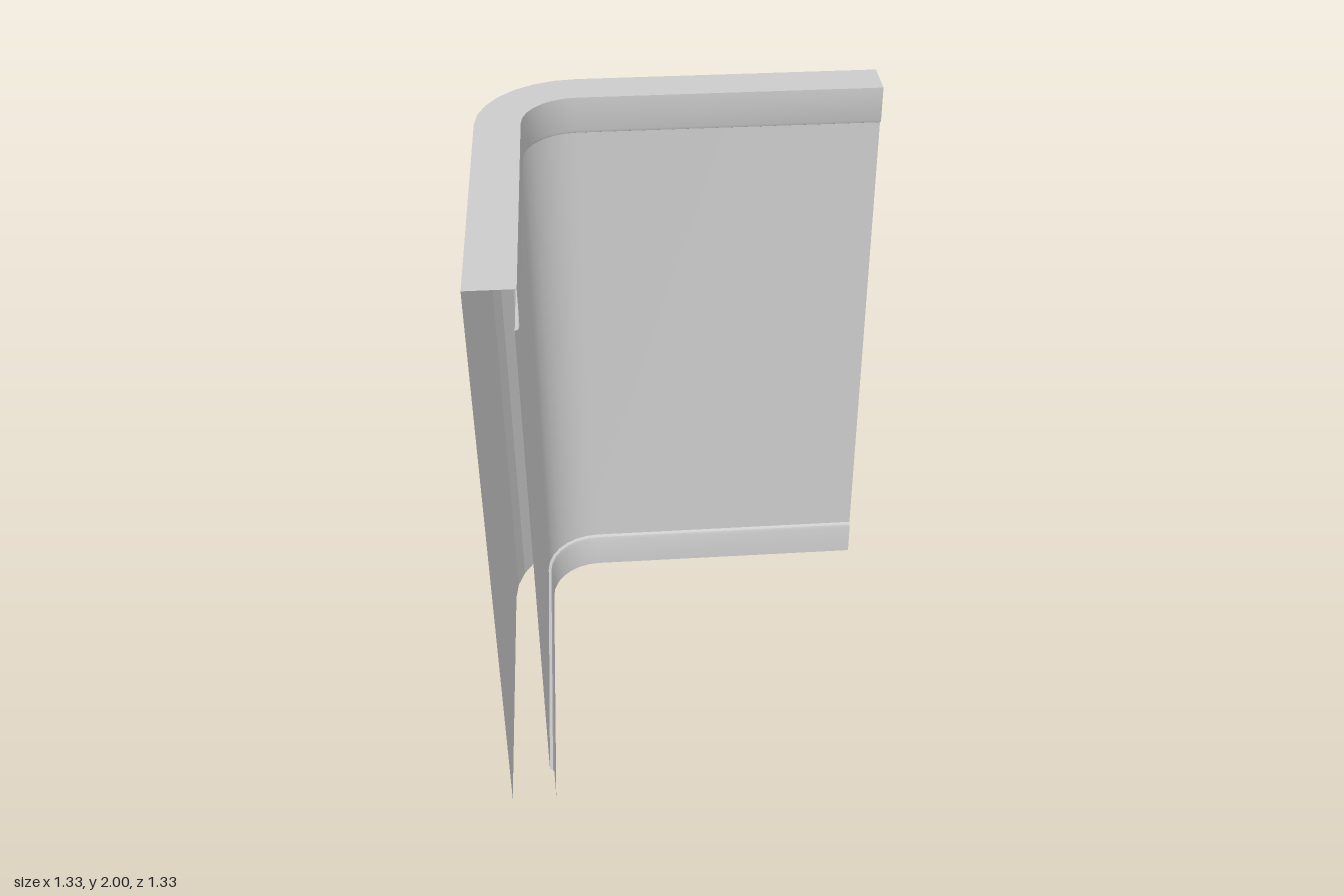
import * as THREE from 'three';
import { toCreasedNormals } from 'three/addons/utils/BufferGeometryUtils.js';

const HALF = 0.667;    // half the footprint
const RADIUS = 0.327;  // outer corner radius
const DEPTH = 0.147;   // wall thickness at the trims
const RECESS = 0.133;  // wall thickness at the panel
const STEPS = 7;       // facets round the corner

// Plan of the wall: points on the outer face, each with its inward direction
function makePlan() {
  const plan = [{ x: -HALF, z: HALF, nx: 1, nz: 0 }];
  const centre = RADIUS - HALF;
  for (let i = 0; i <= STEPS; i++) {
    const a = (i / STEPS) * Math.PI / 2;
    const nx = Math.cos(a), nz = Math.sin(a);
    plan.push({ x: centre - RADIUS * nx, z: centre - RADIUS * nz, nx, nz });
  }
  plan.push({ x: HALF, z: -HALF, nx: 0, nz: 1 });
  return plan;
}

// Sweep a profile of [inward offset, height] points along the plan
function sweep(profile, crease) {
  const plan = makePlan();
  const n = profile.length;
  const positions = [], index = [];
  plan.forEach((s, i) => {
    profile.forEach(([d, y], j) => {
      positions.push(s.x + s.nx * d, y, s.z + s.nz * d);
      if (i < plan.length - 1 && j < n - 1) {
        const a = i * n + j, b = a + n;
        index.push(a, a + 1, b, a + 1, b + 1, b);
      }
    });
  });
  const geometry = new THREE.BufferGeometry();
  geometry.setAttribute('position', new THREE.Float32BufferAttribute(positions, 3));
  geometry.setIndex(index);
  return toCreasedNormals(geometry, crease);
}

export function createModel() {
  const group = new THREE.Group();
  group.name = 'cornerWall';
  const material = new THREE.MeshStandardMaterial({ color: 0xcccccc, side: THREE.DoubleSide });

  function add(name, profile, crease = 0.6) {
    const mesh = new THREE.Mesh(sweep(profile, crease), material);
    mesh.name = name;
    group.add(mesh);
  }

  // Faceted outer skin and flat top
  add('outerWall', [[0, 0], [0, 2]], 0.01);
  add('topCap', [[0, 2], [DEPTH, 2]]);

  // Upper trim with a bevelled lower lip
  add('topTrim', [[DEPTH, 2], [DEPTH, 1.885], [DEPTH - 0.004, 1.875], [RECESS, 1.87]]);

  // Recessed inner face
  add('innerPanel', [[RECESS, 1.87], [RECESS, 0.137]]);

  // Skirting with a bevelled upper lip; ends and underside stay open
  add('skirting', [[RECESS, 0.137], [DEPTH - 0.004, 0.132], [DEPTH, 0.12], [DEPTH, 0]]);

  return group;
}
